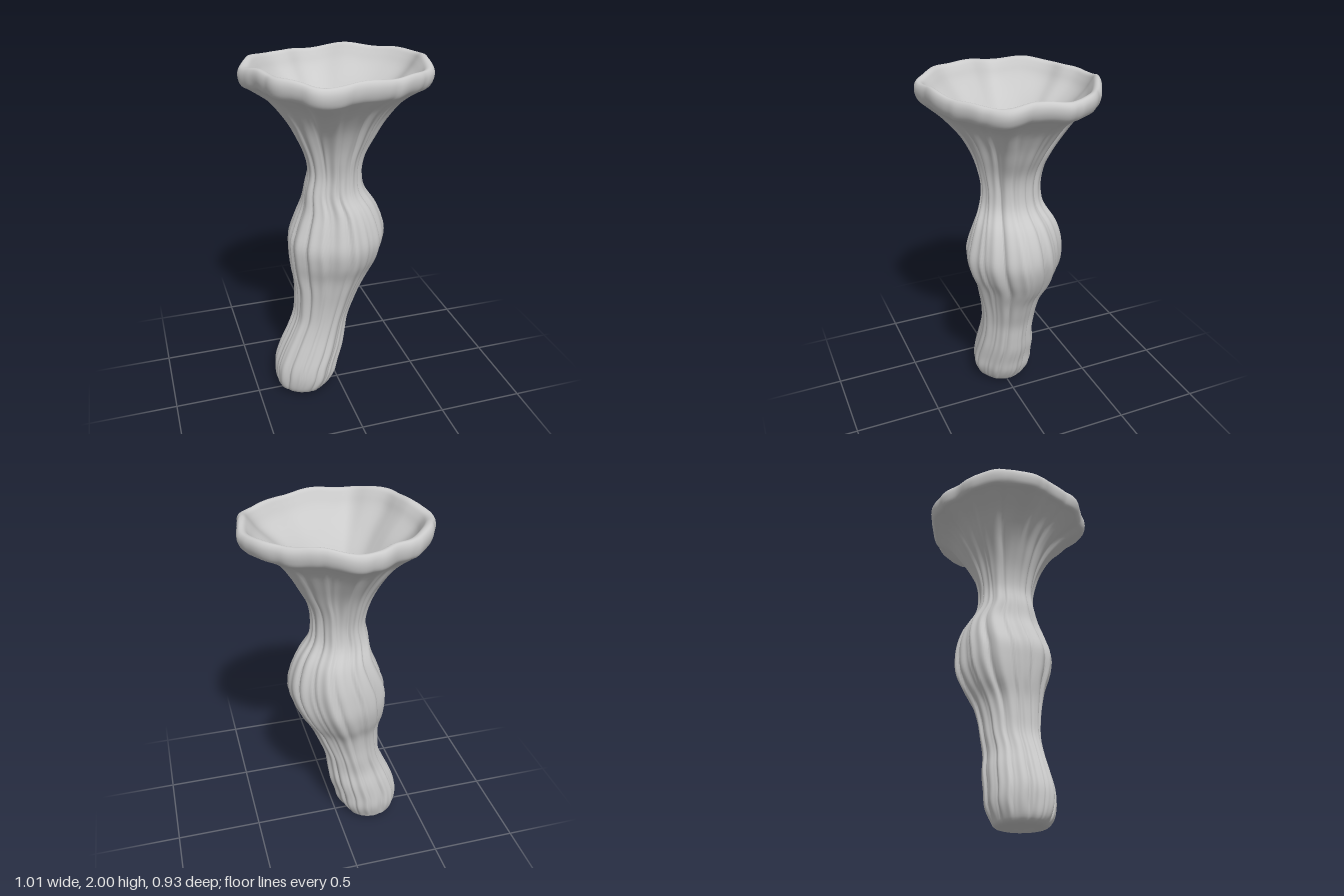
import * as THREE from 'three';

// Cross-sections up the outside: y, xMin, xMax, zMin, zMax
const OUTER = [
  [0.00, -0.21, -0.21, 0.00, 0.00], [0.01, -0.29, -0.14, -0.08, 0.07], [0.015, -0.345, -0.085, -0.14, 0.12],
  [0.05, -0.375, -0.055, -0.16, 0.15], [0.12, -0.385, -0.02, -0.18, 0.17], [0.20, -0.38, 0.00, -0.18, 0.17],
  [0.30, -0.345, 0.03, -0.175, 0.16], [0.40, -0.30, 0.045, -0.16, 0.15], [0.50, -0.26, 0.06, -0.165, 0.15],
  [0.60, -0.25, 0.095, -0.17, 0.16], [0.70, -0.25, 0.135, -0.19, 0.18], [0.80, -0.265, 0.19, -0.235, 0.205],
  [0.90, -0.275, 0.235, -0.262, 0.245], [1.00, -0.275, 0.258, -0.262, 0.262], [1.10, -0.24, 0.245, -0.25, 0.245],
  [1.20, -0.20, 0.205, -0.22, 0.215], [1.30, -0.185, 0.14, -0.165, 0.175], [1.40, -0.165, 0.125, -0.15, 0.165],
  [1.50, -0.18, 0.14, -0.165, 0.18], [1.60, -0.22, 0.19, -0.20, 0.21], [1.70, -0.275, 0.245, -0.26, 0.26],
  [1.80, -0.355, 0.32, -0.335, 0.34], [1.87, -0.445, 0.425, -0.415, 0.42], [1.895, -0.485, 0.475, -0.447, 0.447],
  [1.93, -0.50, 0.497, -0.46, 0.46], [1.965, -0.50, 0.50, -0.46, 0.46],
];
// Over the lip, down the funnel and into the small round hollow
const INNER = [
  [1.988, -0.485, 0.485, -0.447, 0.447], [1.985, -0.455, 0.46, -0.425, 0.425], [1.955, -0.43, 0.435, -0.405, 0.405],
  [1.90, -0.395, 0.39, -0.37, 0.37], [1.80, -0.305, 0.275, -0.28, 0.285], [1.70, -0.23, 0.195, -0.205, 0.21],
  [1.60, -0.17, 0.13, -0.14, 0.155], [1.50, -0.12, 0.065, -0.085, 0.105], [1.40, -0.09, 0.03, -0.05, 0.075],
  [1.30, -0.11, 0.05, -0.07, 0.09], [1.18, -0.13, 0.08, -0.10, 0.11], [1.08, -0.11, 0.06, -0.08, 0.09],
  [1.02, -0.07, 0.02, -0.04, 0.05], [1.00, -0.025, -0.025, 0.005, 0.005],
];
// Uneven outline of the rim (x, z)
const RIM = [
  [0.50, -0.09], [0.48, 0.06], [0.44, 0.22], [0.35, 0.31], [0.20, 0.40], [0.06, 0.445], [-0.10, 0.455], [-0.22, 0.455],
  [-0.31, 0.38], [-0.40, 0.28], [-0.43, 0.17], [-0.455, 0.08], [-0.50, -0.05], [-0.48, -0.14], [-0.42, -0.26],
  [-0.30, -0.37], [-0.20, -0.405], [-0.10, -0.457], [0.06, -0.46], [0.18, -0.41], [0.30, -0.34], [0.43, -0.235],
];
const AROUND = 160, STEPS = 4;
const { smoothstep, lerp } = THREE.MathUtils;

// Catmull-Rom blend of whole rows
function rowAt(rows, t) {
  const i = Math.min(Math.floor(t), rows.length - 2), f = t - i;
  const r = k => rows[Math.max(0, Math.min(rows.length - 1, k))];
  const [a, b, c, d] = [r(i - 1), r(i), r(i + 1), r(i + 2)];
  return b.map((_, k) => b[k] + 0.5 * f * (c[k] - a[k]
    + f * (2 * a[k] - 5 * b[k] + 4 * c[k] - d[k] + f * (3 * (b[k] - c[k]) + d[k] - a[k]))));
}

// Rim radius by angle, scaled to a unit outline
function rimRadii() {
  const curve = new THREE.CatmullRomCurve3(RIM.map(([x, z]) => new THREE.Vector3(x / 0.5, 0, z / 0.46)), true);
  const samples = curve.getPoints(900).map(p => [Math.atan2(p.z, p.x), Math.hypot(p.x, p.z)]);
  return Array.from({ length: AROUND }, (_, j) => {
    const angle = j / AROUND * Math.PI * 2;
    const gap = s => 1 - Math.cos(s[0] - angle);
    return samples.reduce((best, s) => gap(s) < gap(best) ? s : best)[1];
  });
}

// Lengthwise folds that drift a little with height
function folds(a, y) {
  const p = a + 0.12 * Math.sin(2.3 * y + 0.5);
  const broad = 0.4 * Math.sin(5 * p + 1.2 * Math.sin(1.7 * y)) + 0.35 * Math.sin(9 * p + 1.5 * Math.sin(2.1 * y + 1));
  const fine = 0.35 * Math.sin(19 * p + 1.6 * Math.sin(4 * y));
  const creases = Math.pow(Math.max(0, Math.sin(13 * p + 1.1 * Math.sin(3.3 * y))), 5);
  return broad + fine - 0.9 * creases + 0.2;
}

function vaseGeometry() {
  const rows = [...OUTER, ...INNER], radii = rimRadii();
  const count = (rows.length - 1) * STEPS, positions = [], index = [];
  for (let i = 0; i <= count; i++) {
    const t = i / STEPS, [y, x0, x1, z0, z1] = rowAt(rows, t);
    const flare = smoothstep(y, 1.45, 1.9), lip = smoothstep(y, 1.75, 1.93);
    const outside = 1 - smoothstep(t, OUTER.length - 2, OUTER.length + 2);
    const depth = lerp(0.06, 0.01, lip) * outside * smoothstep(y, -0.03, 0.12);
    for (let j = 0; j < AROUND; j++) {
      const a = j / AROUND * Math.PI * 2;
      const r = lerp(1, radii[j], flare) * (1 + depth * folds(a, y));
      const wave = 0.008 * Math.sin(2 * a + 2.4) + 0.008 * Math.sin(5 * a + 1) + 0.006 * Math.sin(9 * a) - 0.005;
      positions.push(
        (x0 + x1) / 2 + (x1 - x0) / 2 * r * Math.cos(a),
        Math.max(0, Math.min(2, y + lip * wave)),
        (z0 + z1) / 2 + (z1 - z0) / 2 * r * Math.sin(a));
      if (i < count) {
        const k = (j + 1) % AROUND, lo = i * AROUND, hi = lo + AROUND;
        index.push(lo + j, hi + j, lo + k, lo + k, hi + j, hi + k);
      }
    }
  }
  const geometry = new THREE.BufferGeometry();
  geometry.setAttribute('position', new THREE.Float32BufferAttribute(positions, 3));
  geometry.setIndex(index);
  geometry.computeVertexNormals();
  return geometry;
}

export function createModel() {
  const group = new THREE.Group();
  group.name = 'flaredVase';
  const body = new THREE.Mesh(vaseGeometry(), new THREE.MeshStandardMaterial({ color: 0xcccccc }));
  body.name = 'flutedBody';
  group.add(body);
  return group;
}
